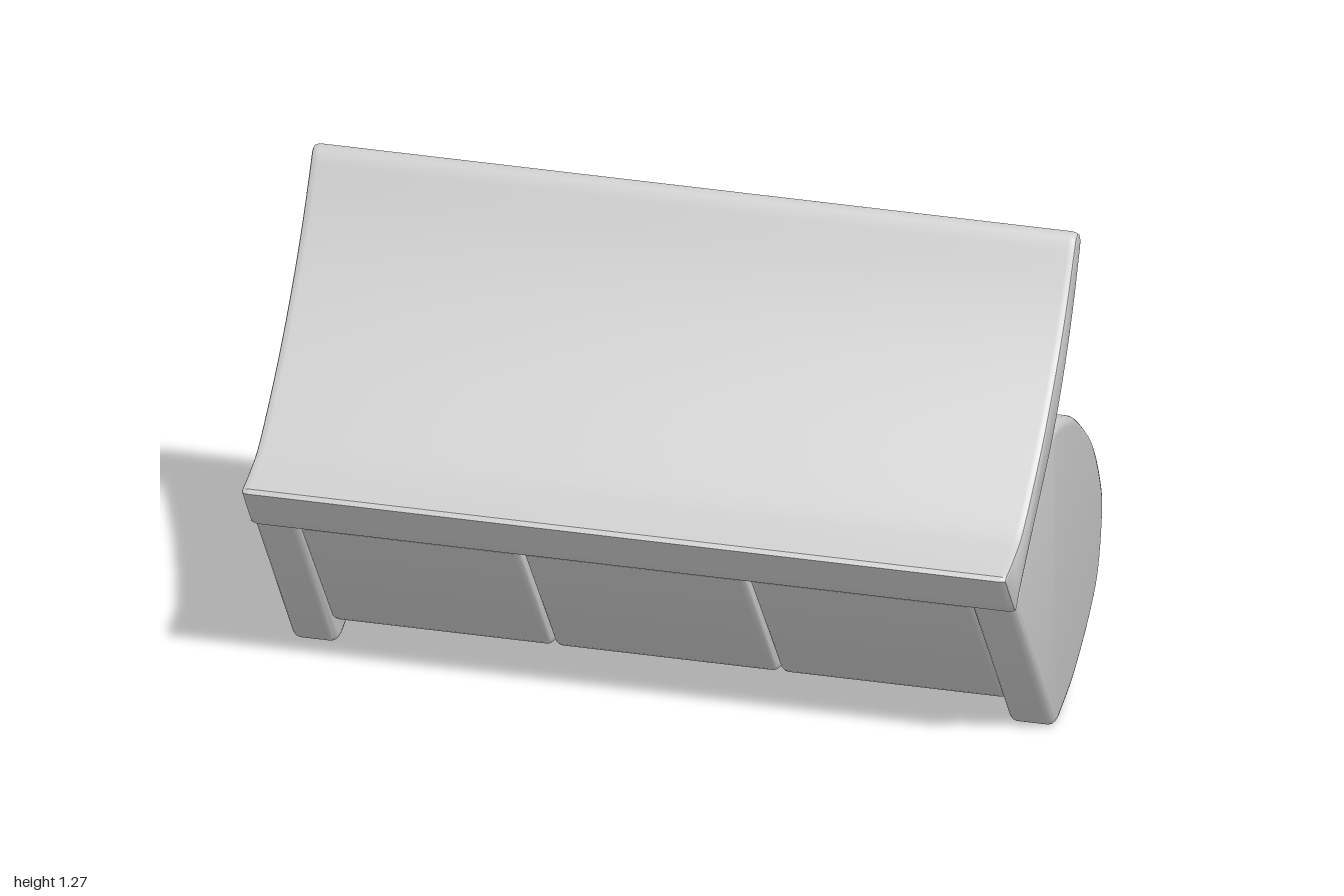
import * as THREE from 'three';
import { toCreasedNormals } from 'three/addons/utils/BufferGeometryUtils.js';

const fabric = new THREE.MeshStandardMaterial({ color: 0xcccccc });
fabric.name = 'greyFabric';

// Outline from runs of [z, y] points; runs of three or more become smooth curves.
function outline(runs) {
  const pts = [];
  for (const run of runs) {
    const v = run.map(([z, y]) => new THREE.Vector2(-z, y));
    pts.push(...(v.length > 2 ? new THREE.SplineCurve(v).getPoints((v.length - 1) * 4) : v));
  }
  return new THREE.Shape(pts);
}

// Extrudes a side outline across the width from x0 to x1 with softened rims.
function slab(name, shape, x0, x1, rim, round) {
  const geo = new THREE.ExtrudeGeometry(shape, {
    depth: x1 - x0 - 2 * round, steps: 1, bevelEnabled: true,
    bevelSize: rim, bevelOffset: -rim, bevelThickness: round, bevelSegments: 3,
  });
  geo.translate(0, 0, x0 + round);
  geo.rotateY(Math.PI / 2);
  const mesh = new THREE.Mesh(toCreasedNormals(geo, 0.6), fabric);
  mesh.name = name;
  return mesh;
}

export function createModel() {
  const sofa = new THREE.Group();
  sofa.name = 'tippedSofa';

  // Rounded arm: flat base edge, full curved top
  const arm = outline([
    [[0.34, 0.485], [0.345, 0.465]],
    [[0.01, 0.02], [-0.01, 0.006], [-0.045, 0.006]],
    [[-0.12, 0.035], [-0.2, 0.075], [-0.318, 0.162], [-0.405, 0.26], [-0.445, 0.415],
      [-0.425, 0.517], [-0.35, 0.645], [-0.216, 0.76], [-0.13, 0.798], [-0.03, 0.817],
      [0.03, 0.803]],
  ]);
  sofa.add(slab('leftArm', arm, 0.878, 0.996, 0.02, 0.02));
  sofa.add(slab('rightArm', arm, -0.996, -0.878, 0.02, 0.02));

  // Curved backrest, thick at the foot and thin at the top
  const back = outline([
    [[0.448, 0.588], [0.363, 0.475], [0.348, 0.477]],
    [[0.335, 0.49], [0.18, 0.645], [0.02, 0.805], [-0.09, 0.956], [-0.165, 1.09], [-0.225, 1.225]],
    [[-0.23, 1.245], [-0.222, 1.265], [-0.205, 1.273], [-0.185, 1.264]],
    [[-0.17, 1.236], [-0.1, 1.11], [-0.007, 0.973], [0.12, 0.82], [0.28, 0.668],
      [0.36, 0.625], [0.44, 0.599]],
  ]);
  sofa.add(slab('backrest', back, -1, 1, 0.01, 0.02));

  // Three seat cushions with a rolled front edge
  const cushion = outline([
    [[0.32, 0.468], [0.328, 0.455]],
    [[0.045, 0.095], [0.025, 0.083], [0, 0.08]],
    [[-0.19, 0.083], [-0.26, 0.103], [-0.303, 0.15], [-0.317, 0.195], [-0.29, 0.247],
      [-0.1, 0.44], [0.08, 0.605]],
    [[0.105, 0.627], [0.14, 0.638], [0.172, 0.62]],
  ]);
  [[-0.882, -0.305], [-0.297, 0.285], [0.293, 0.882]].forEach(([x0, x1], i) => {
    sofa.add(slab('seatCushion' + (i + 1), cushion, x0, x1, 0.015, 0.018));
  });

  return sofa;
}
